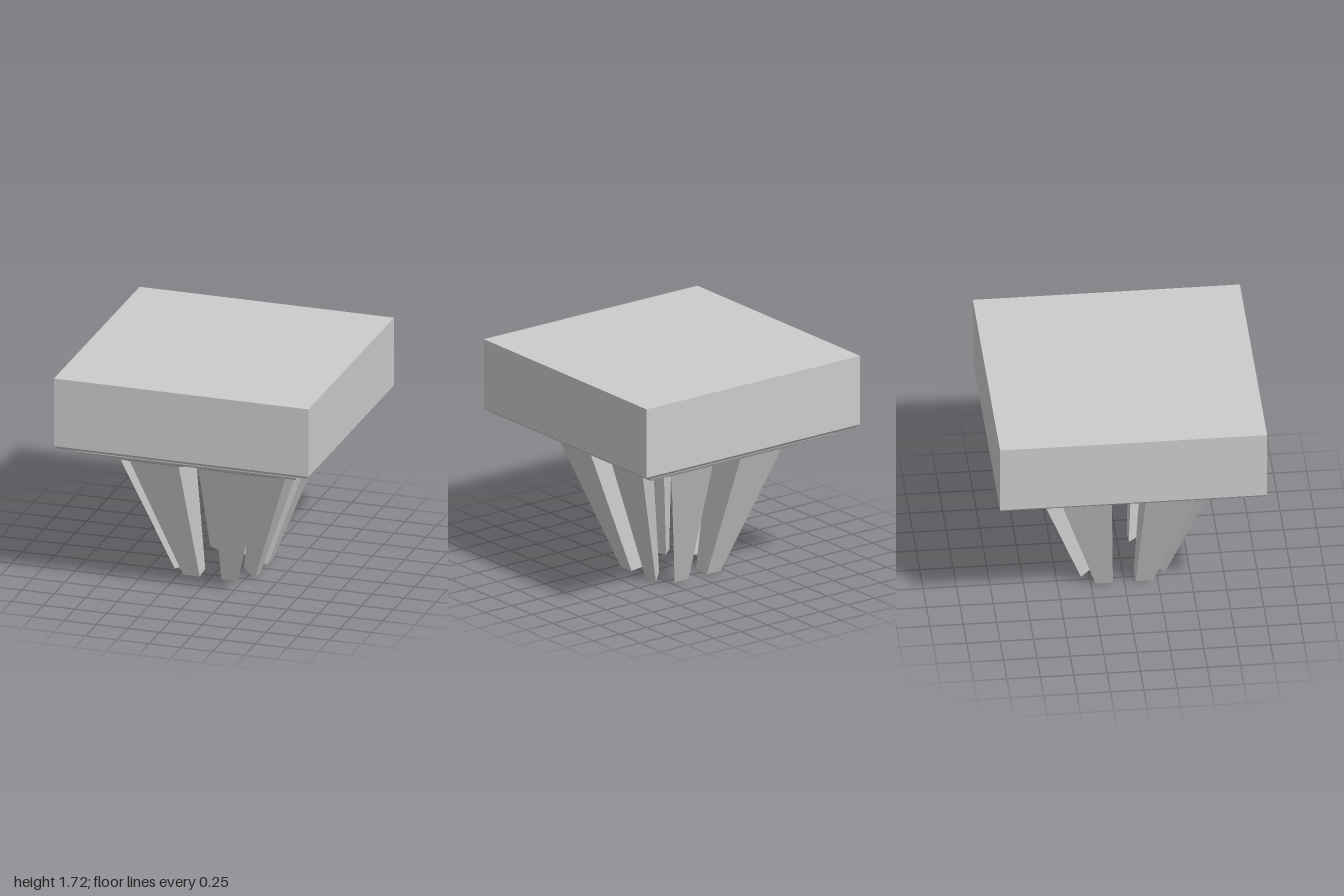
import * as THREE from 'three';

const material = new THREE.MeshStandardMaterial({ color: 0xcccccc, flatShading: true });

// Closed solid through rings of [x, y, z] corners, listed bottom to top,
// each ring running anticlockwise as seen from above.
function loft(name, rings) {
  const pos = [];
  const tri = (a, b, c) => pos.push(...a, ...b, ...c);
  const n = rings[0].length;
  for (let r = 0; r < rings.length - 1; r++) {
    for (let i = 0; i < n; i++) {
      const j = (i + 1) % n;
      const [a, b, c, d] = [rings[r][i], rings[r][j], rings[r + 1][j], rings[r + 1][i]];
      tri(a, b, c);
      tri(a, c, d);
    }
  }
  const low = rings[0], top = rings[rings.length - 1];
  for (let i = 1; i < n - 1; i++) {
    tri(low[0], low[i + 1], low[i]);
    tri(top[0], top[i], top[i + 1]);
  }
  const geo = new THREE.BufferGeometry();
  geo.setAttribute('position', new THREE.Float32BufferAttribute(pos, 3));
  geo.computeVertexNormals();
  const mesh = new THREE.Mesh(geo, material);
  mesh.name = name;
  return mesh;
}

// Square ring of half width h at height y
const square = (h, y) => [[-h, y, h], [h, y, h], [h, y, -h], [-h, y, -h]];

// Reflects rings in x and keeps their direction
const mirror = (rings) =>
  rings.map((ring) => ring.map(([x, y, z]) => [-x, y, z]).reverse());

export function createModel() {
  const model = new THREE.Group();

  // Square block with a chamfered lower edge
  model.add(loft('block', [square(0.975, 1.155), square(1, 1.18), square(1, 1.72)]));

  // Stepped plate beneath the block
  model.add(loft('plate', [square(0.845, 1.08), square(0.857, 1.1), square(0.857, 1.16)]));

  // Three-sided prong flaring into one eighth of the plate's underside;
  // the spaces between prongs form tapering slots
  const prong = [
    [[0.085, 0, 0.315], [0.215, 0, 0.315], [0.085, 0.015, 0.185]],
    [[0.13, 1, 0.67], [0.515, 1, 0.67], [0.13, 1, 0.285]],
    [[0, 1.085, 0.848], [0.848, 1.085, 0.848], [0, 1.085, 0]],
  ];
  for (let i = 0; i < 4; i++) {
    const side = new THREE.Group();
    side.name = 'prongPair';
    side.add(loft('prong', prong), loft('prong', mirror(prong)));
    side.rotation.y = (i * Math.PI) / 2;
    model.add(side);
  }

  // Eight-sided stud hanging in the centre
  const profile = [[0, 0.815], [0.09, 0.815], [0.14, 0.98], [0.15, 0.99], [0.15, 1.1]];
  const stud = new THREE.Mesh(
    new THREE.LatheGeometry(profile.map(([r, y]) => new THREE.Vector2(r, y)), 8),
    material
  );
  stud.name = 'centreStud';
  model.add(stud);

  return model;
}
